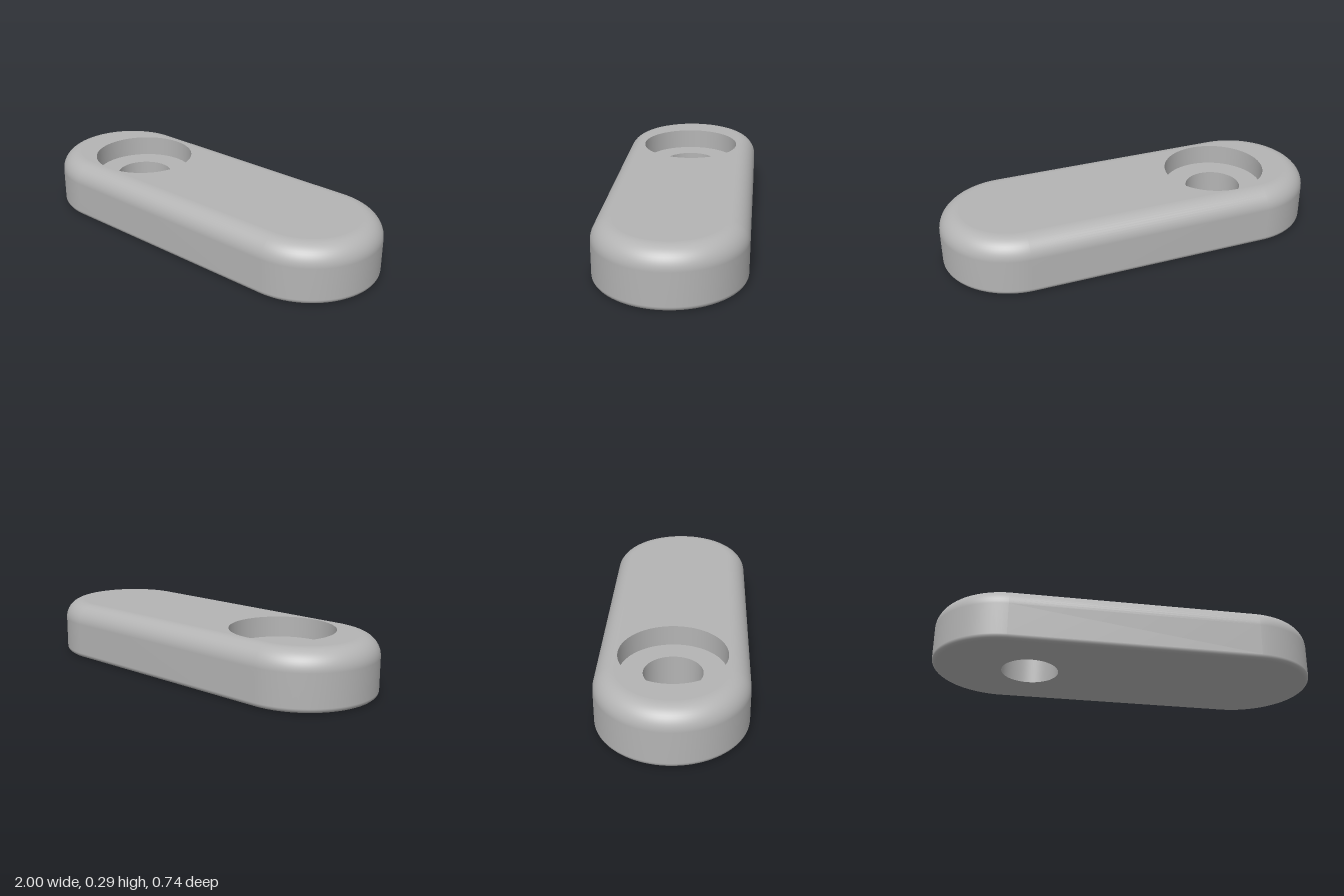
import * as THREE from 'three';

const HALF_WIDTH = 0.372, SHIFT = 1 - HALF_WIDTH, HEIGHT = 0.29;
const TOP_FILLET = 0.1, BOTTOM_FILLET = 0.025, INSET = 0.002;
const HOLE_X = -0.5, HOLE_R = 0.147, BORE_R = 0.266, BORE_FLOOR = HEIGHT - 0.107;
const SEGMENTS = 96;

// Round-ended plate outline with one circular hole
function capGeometry(r, holeR) {
  const shape = new THREE.Shape();
  shape.absarc(SHIFT, 0, r, -Math.PI / 2, Math.PI / 2, false);
  shape.absarc(-SHIFT, 0, r, Math.PI / 2, Math.PI * 1.5, false);
  shape.closePath();
  const hole = new THREE.Path();
  hole.absarc(HOLE_X, 0, holeR, 0, Math.PI * 2, true);
  shape.holes.push(hole);
  return new THREE.ShapeGeometry(shape, 48);
}

// Filleted rim: a turned profile whose two halves are pulled apart along x
function rimGeometry() {
  const points = [new THREE.Vector2(HALF_WIDTH - BOTTOM_FILLET - INSET, 0)];
  const arc = (radius, cy, from, steps) => {
    for (let i = 0; i <= steps; i++) {
      const a = from + (i / steps) * Math.PI / 2;
      points.push(new THREE.Vector2(
        HALF_WIDTH - radius + radius * Math.cos(a), cy + radius * Math.sin(a)));
    }
  };
  arc(BOTTOM_FILLET, BOTTOM_FILLET, -Math.PI / 2, 6);
  arc(TOP_FILLET, HEIGHT - TOP_FILLET, 0, 12);
  points.push(new THREE.Vector2(HALF_WIDTH - TOP_FILLET - INSET, HEIGHT));
  // Half a step of rotation keeps every vertex off the x = 0 seam
  const geometry = new THREE.LatheGeometry(points, SEGMENTS, Math.PI / SEGMENTS);
  const pos = geometry.attributes.position;
  for (let i = 0; i < pos.count; i++) {
    pos.setX(i, pos.getX(i) + Math.sign(pos.getX(i)) * SHIFT);
  }
  return geometry;
}

// Inward-facing cylindrical wall, drawn from top to bottom
function wallGeometry(r, top, bottom) {
  return new THREE.LatheGeometry(
    [new THREE.Vector2(r, top), new THREE.Vector2(r, bottom)], SEGMENTS);
}

export function createModel() {
  const group = new THREE.Group();
  group.name = 'mountingPlate';
  const grey = new THREE.MeshStandardMaterial({ color: 0xb4b4b4 });
  grey.name = 'grey';

  const add = (name, geometry, x = 0, y = 0) => {
    const mesh = new THREE.Mesh(geometry, grey);
    mesh.name = name;
    mesh.position.set(x, y, 0);
    group.add(mesh);
  };

  // Plate body
  add('roundedRim', rimGeometry());
  add('topFace', capGeometry(HALF_WIDTH - TOP_FILLET - INSET, BORE_R).rotateX(-Math.PI / 2), 0, HEIGHT);
  add('bottomFace', capGeometry(HALF_WIDTH - BOTTOM_FILLET - INSET, HOLE_R).rotateX(Math.PI / 2));

  // Counterbored screw hole
  add('counterboreWall', wallGeometry(BORE_R, HEIGHT, BORE_FLOOR), HOLE_X);
  add('counterboreFloor', new THREE.RingGeometry(HOLE_R, BORE_R, SEGMENTS).rotateX(-Math.PI / 2), HOLE_X, BORE_FLOOR);
  add('screwHoleWall', wallGeometry(HOLE_R, BORE_FLOOR, 0), HOLE_X);

  return group;
}
